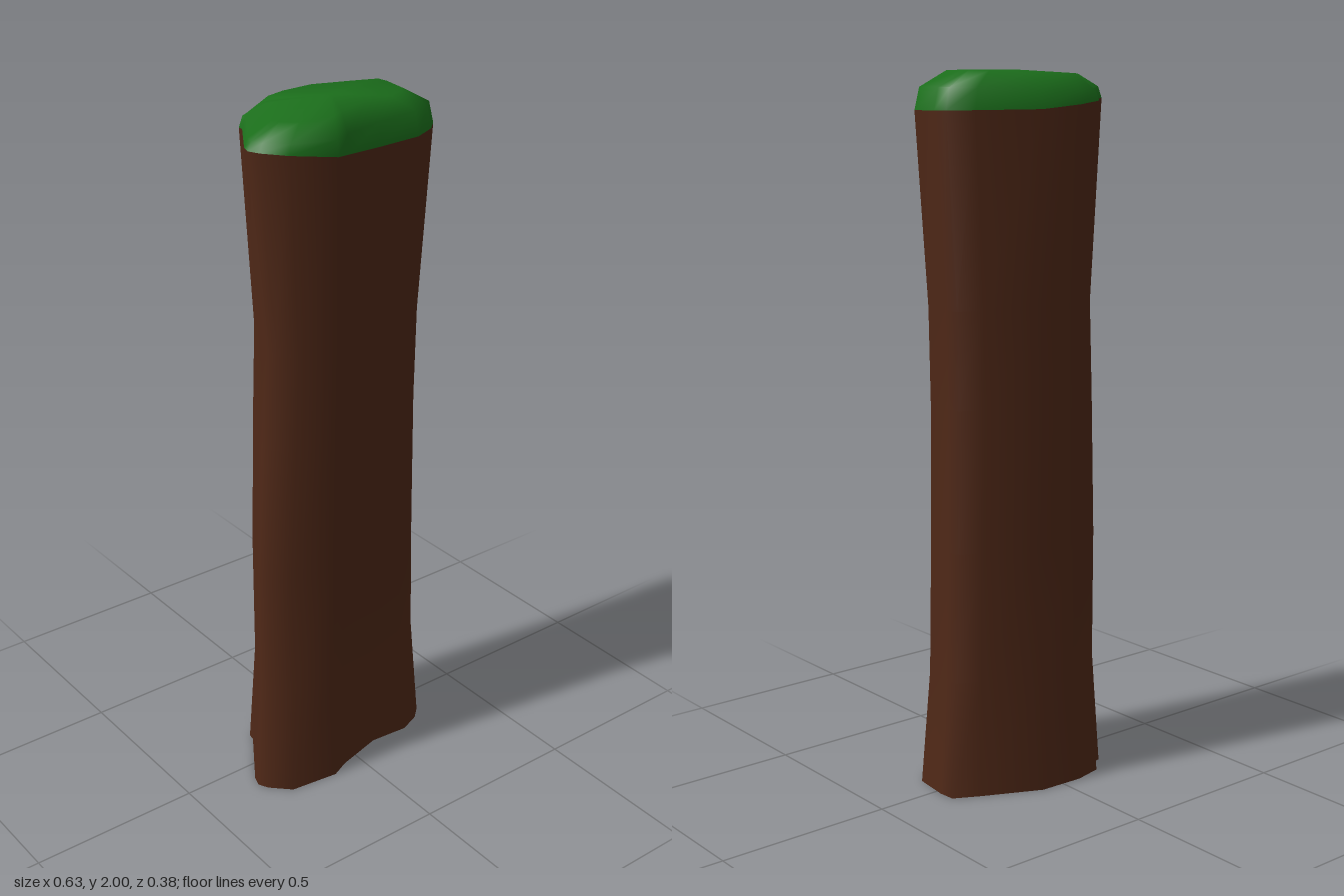
import * as THREE from 'three';
import { mergeVertices, toCreasedNormals } from 'three/addons/utils/BufferGeometryUtils.js';

// Cross-section of the trunk as [x, z], with a narrow fold at the back
const outline = [
  [-0.315, 0.09], [-0.305, 0.06], [-0.2, -0.1], [-0.197, -0.12], [-0.147, -0.13],
  [-0.142, -0.172], [-0.06, -0.19], [0.072, -0.184], [0.24, -0.105], [0.31, -0.068],
  [0.315, -0.02], [0.303, 0.085], [0.27, 0.115], [0.207, 0.14], [0.09, 0.13],
  [-0.05, 0.166], [-0.103, 0.19], [-0.247, 0.172], [-0.3, 0.12],
];

// Height, then the scale of the left (-x), right, front and back of the section
const levels = [
  [0, 1, 0.99, 1, 1],
  [0.33, 0.925, 0.905, 0.88, 0.86],
  [0.7, 0.92, 0.88, 0.87, 0.88],
  [1.1, 0.86, 0.865, 0.87, 0.89],
  [1.37, 0.8, 0.88, 0.87, 0.91],
  [1.9, 0.965, 0.985, 0.98, 0.95],
];

const section = ([, l, r, f, b]) =>
  outline.map(([x, z]) => [x * (x < 0 ? l : r), z * (z > 0 ? f : b)]);

// Height of the wavy rim: low at the front middle, higher at the left
function rimHeight(x, z) {
  const dip = Math.max(0, 1 - Math.abs(x - 0.04) / 0.28);
  return 1.915 - 0.06 * x - 0.035 * dip * (z > 0 ? 1 : 0.4);
}

// Skin a stack of equal rings; optionally close the last ring onto a centre point
function loft(rings, centre) {
  const n = rings[0].length, pos = rings.flat(2), index = [];
  for (let r = 0; r < rings.length - 1; r++) {
    for (let i = 0; i < n; i++) {
      const a = r * n + i, b = r * n + (i + 1) % n;
      index.push(a, a + n, b, b, a + n, b + n);
    }
  }
  if (centre) {
    const base = (rings.length - 1) * n;
    pos.push(...centre);
    for (let i = 0; i < n; i++) index.push(base + i, rings.length * n, base + (i + 1) % n);
  }
  const g = new THREE.BufferGeometry();
  g.setAttribute('position', new THREE.Float32BufferAttribute(pos, 3));
  g.setIndex(index);
  return toCreasedNormals(mergeVertices(g), 1.1);
}

function addMesh(group, name, geometry, color) {
  const material = new THREE.MeshStandardMaterial({ color, side: THREE.DoubleSide });
  const mesh = new THREE.Mesh(geometry, material);
  mesh.name = name;
  group.add(mesh);
}

export function createModel() {
  const group = new THREE.Group();
  group.name = 'treeStump';

  // Bark: hollow tube, open at the bottom, ending in the wavy rim
  const top = section(levels[levels.length - 1]);
  const rim = top.map(([x, z]) => [x, rimHeight(x, z), z]);
  const barkRings = levels.slice(0, -1).map((lv) => section(lv).map(([x, z]) => [x, lv[0], z]));
  addMesh(group, 'bark', loft([...barkRings, rim]), 0x4f2817);

  // Mossy cap: rounded edge rising to a nearly flat top
  const capRing = (s, y) => rim.map(([x, ry, z]) => [x * s, ry + (y(x, z) - ry), z * s]);
  const shoulder = capRing(0.955, (x) => 1.955 - (Math.abs(x) < 0.15 ? 0.01 : 0));
  const crown = capRing(0.7, (x) => 1.993 + 0.02 * x);
  crown.forEach((p) => { p[1] = Math.min(p[1], 2); });
  addMesh(group, 'mossCap', loft([rim, shoulder, crown], [0.02, 2, 0]), 0x1b6e1b);

  return group;
}
